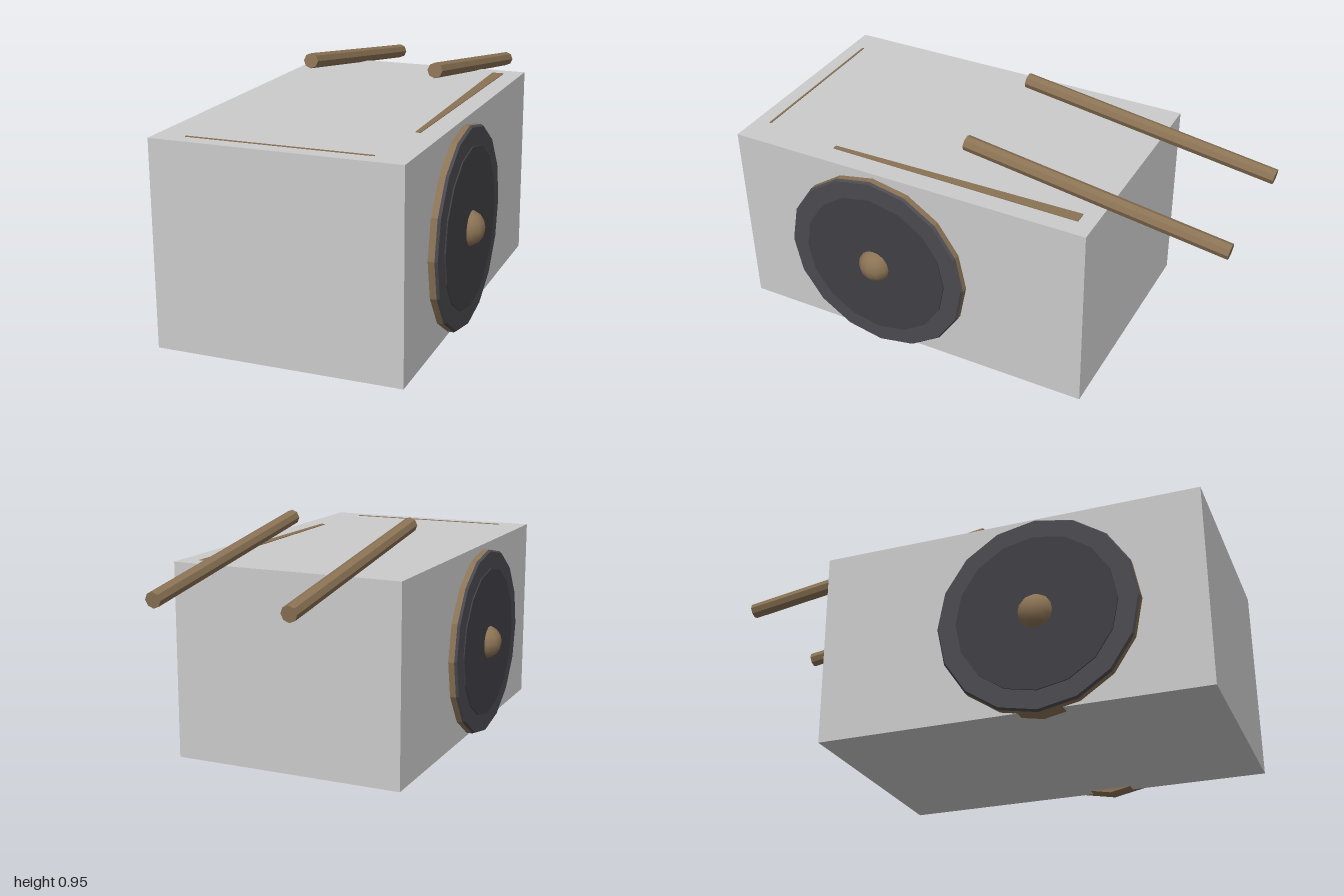
import * as THREE from 'three';

const grey = new THREE.MeshStandardMaterial({ color: 0xcccccc });
const wood = new THREE.MeshStandardMaterial({ color: 0x8b7355, flatShading: true });
const hubWood = new THREE.MeshStandardMaterial({ color: 0x8b7355 });
const iron = new THREE.MeshStandardMaterial({ color: 0x4a4a50, flatShading: true });
const darkIron = new THREE.MeshStandardMaterial({ color: 0x404045, flatShading: true });

function add(parent, name, geometry, material, x = 0, y = 0, z = 0) {
  const mesh = new THREE.Mesh(geometry, material);
  mesh.name = name;
  mesh.position.set(x, y, z);
  parent.add(mesh);
  return mesh;
}

// Sixteen-sided disc whose axis runs along x, between x0 and x1
function disc(x0, x1, r0, r1) {
  const g = new THREE.CylinderGeometry(r1, r0, x1 - x0, 16);
  g.rotateZ(-Math.PI / 2);
  g.translate((x0 + x1) / 2, 0, 0);
  return g;
}

// Wheel facing +x, or turned around to face -x
function makeWheel(side) {
  const wheel = new THREE.Group();
  wheel.name = side > 0 ? 'leftWheel' : 'rightWheel';
  add(wheel, 'woodenRim', disc(0.43, 0.5, 0.395, 0.395), wood);
  add(wheel, 'ironTyre', disc(0.5, 0.51, 0.395, 0.388), iron);
  add(wheel, 'wheelDisc', disc(0.505, 0.515, 0.315, 0.315), darkIron);
  const hub = new THREE.SphereGeometry(0.071, 12, 8);
  add(wheel, 'hub', hub, hubWood, 0.497, 0, 0);
  wheel.position.set(0, 0.395, 0.365);
  if (side < 0) wheel.rotation.y = Math.PI;
  return wheel;
}

// Straight round bar between two points
function bar(parent, name, a, b, r) {
  const dir = b.clone().sub(a);
  const mesh = add(parent, name, new THREE.CylinderGeometry(r, r, dir.length(), 8), wood);
  mesh.position.copy(a).add(b).multiplyScalar(0.5);
  mesh.quaternion.setFromUnitVectors(new THREE.Vector3(0, 1, 0), dir.normalize());
}

// Thin board edge lying on the top, outlined by [x, z] corners
function boardEdge(parent, name, corners) {
  const shape = new THREE.Shape(corners.map(([x, z]) => new THREE.Vector2(x, -z)));
  const g = new THREE.ExtrudeGeometry(shape, { depth: 0.012, bevelEnabled: false });
  g.rotateX(-Math.PI / 2);
  add(parent, name, g, wood, 0, 0.8005, 0);
}

export function createModel() {
  const cart = new THREE.Group();
  cart.name = 'handcart';

  // Box body
  add(cart, 'body', new THREE.BoxGeometry(0.95, 0.793, 1.525), grey, 0, 0.4135, 0.2375);

  // Wheels and sloping handles
  for (const side of [1, -1]) {
    cart.add(makeWheel(side));
    bar(cart, side > 0 ? 'leftHandle' : 'rightHandle',
      new THREE.Vector3(side * 0.265, 0.92, 0.07),
      new THREE.Vector3(side * 0.265, 0.766, -0.996), 0.031);
  }

  // Board edges showing through the top
  boardEdge(cart, 'sideBoardEdge', [[0.37, 0.6], [0.39, 0.6], [0.4, -0.46], [0.35, -0.46]]);
  boardEdge(cart, 'frontBoardEdge', [[-0.36, 0.942], [0.345, 0.938], [0.345, 0.93], [-0.36, 0.934]]);

  return cart;
}
